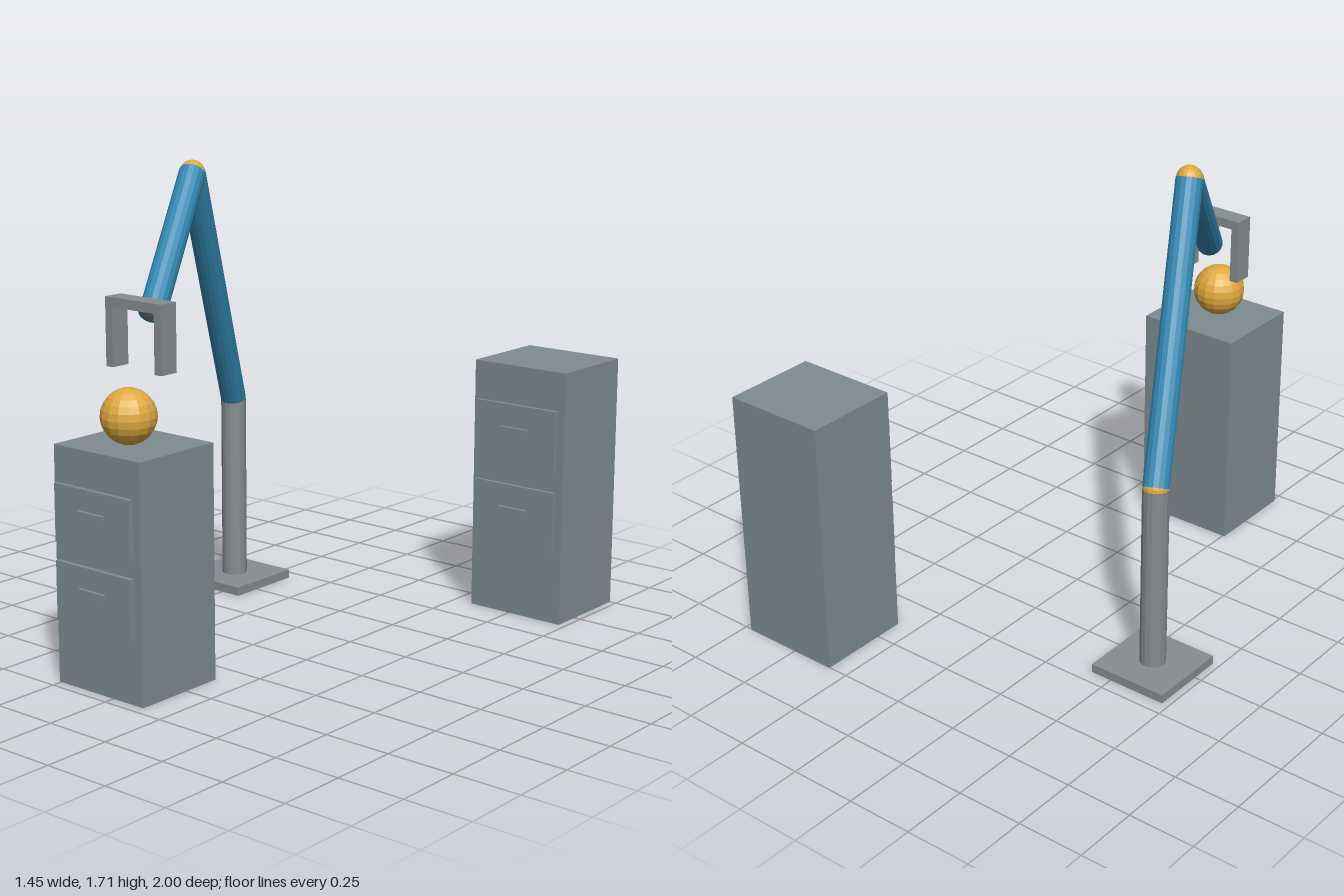
import * as THREE from 'three';

const mat = (name, color, flatShading = true) => {
  const m = new THREE.MeshStandardMaterial({ color, flatShading });
  m.name = name;
  return m;
};

export function createModel() {
  const cabinetGrey = mat('cabinet grey', 0x7f8c91);
  const metalGrey = mat('metal grey', 0x868d90);
  const armBlue = mat('arm blue', 0x3489b3);
  const orange = mat('joint orange', 0xdfaa40);

  const model = new THREE.Group();
  model.name = 'robotArmWithCabinets';

  const add = (parent, name, geometry, material, x, y, z) => {
    const mesh = new THREE.Mesh(geometry, material);
    mesh.name = name;
    mesh.position.set(x, y, z);
    parent.add(mesh);
    return mesh;
  };
  const box = (parent, name, material, w, h, d, x, y, z) =>
    add(parent, name, new THREE.BoxGeometry(w, h, d), material, x, y, z);
  const ball = (parent, name, r, p) =>
    add(parent, name, new THREE.SphereGeometry(r, 16, 12), orange, p.x, p.y, p.z);

  // Cylinder running between two points
  const rod = (parent, name, material, r, a, b) => {
    const dir = b.clone().sub(a);
    const mid = a.clone().add(b).multiplyScalar(0.5);
    const mesh = add(parent, name, new THREE.CylinderGeometry(r, r, dir.length(), 16), material, mid.x, mid.y, mid.z);
    mesh.quaternion.setFromUnitVectors(new THREE.Vector3(0, 1, 0), dir.normalize());
    return mesh;
  };

  // Cabinet with two floating drawer fronts and handles
  const cabinet = (name, x, z, height) => {
    const g = new THREE.Group();
    g.name = name;
    g.position.set(x, 0, z);
    g.scale.y = height / 0.84;
    box(g, 'cabinetBody', cabinetGrey, 0.396, 0.84, 0.357, 0, 0.42, 0);
    for (const y of [0.342, 0.612]) {
      box(g, 'drawerFront', cabinetGrey, 0.348, 0.206, 0.017, 0, y, 0.196);
      box(g, 'drawerHandle', cabinetGrey, 0.118, 0.016, 0.014, 0, y + 0.021, 0.211);
    }
    model.add(g);
  };
  cabinet('frontCabinet', -0.06, 0.782, 0.84);
  cabinet('backCabinet', 0.526, -0.822, 0.952);

  // Ball resting on the front cabinet
  ball(model, 'ball', 0.097, new THREE.Vector3(-0.06, 0.937, 0.803));

  // Arm: base, column, two links and joints
  const arm = new THREE.Group();
  arm.name = 'robotArm';
  model.add(arm);
  const foot = new THREE.Vector3(-0.57, 0.03, -0.293);
  const shoulder = new THREE.Vector3(-0.57, 0.735, -0.293);
  const elbow = new THREE.Vector3(-0.365, 1.668, 0.15);
  const wrist = new THREE.Vector3(-0.168, 1.234, 0.572);
  const grip = new THREE.Vector3(-0.115, 1.288, 0.683);
  box(arm, 'basePlate', metalGrey, 0.306, 0.033, 0.306, foot.x, 0.0165, foot.z);
  rod(arm, 'column', metalGrey, 0.048, foot, shoulder);
  ball(arm, 'shoulderJoint', 0.047, shoulder);
  rod(arm, 'lowerLink', armBlue, 0.048, shoulder, elbow);
  ball(arm, 'elbowJoint', 0.046, elbow);
  rod(arm, 'upperLink', armBlue, 0.048, elbow, wrist);
  rod(arm, 'wristRod', metalGrey, 0.021, wrist, grip);

  // Gripper: crossbar with two fingers
  const gripper = new THREE.Group();
  gripper.name = 'gripper';
  gripper.position.set(grip.x, 0, grip.z);
  arm.add(gripper);
  box(gripper, 'gripperBar', metalGrey, 0.258, 0.034, 0.074, 0, 1.293, 0);
  for (const s of [-1, 1]) {
    box(gripper, 'gripperFinger', metalGrey, 0.032, 0.208, 0.074, s * 0.113, 1.173, 0);
  }

  return model;
}
